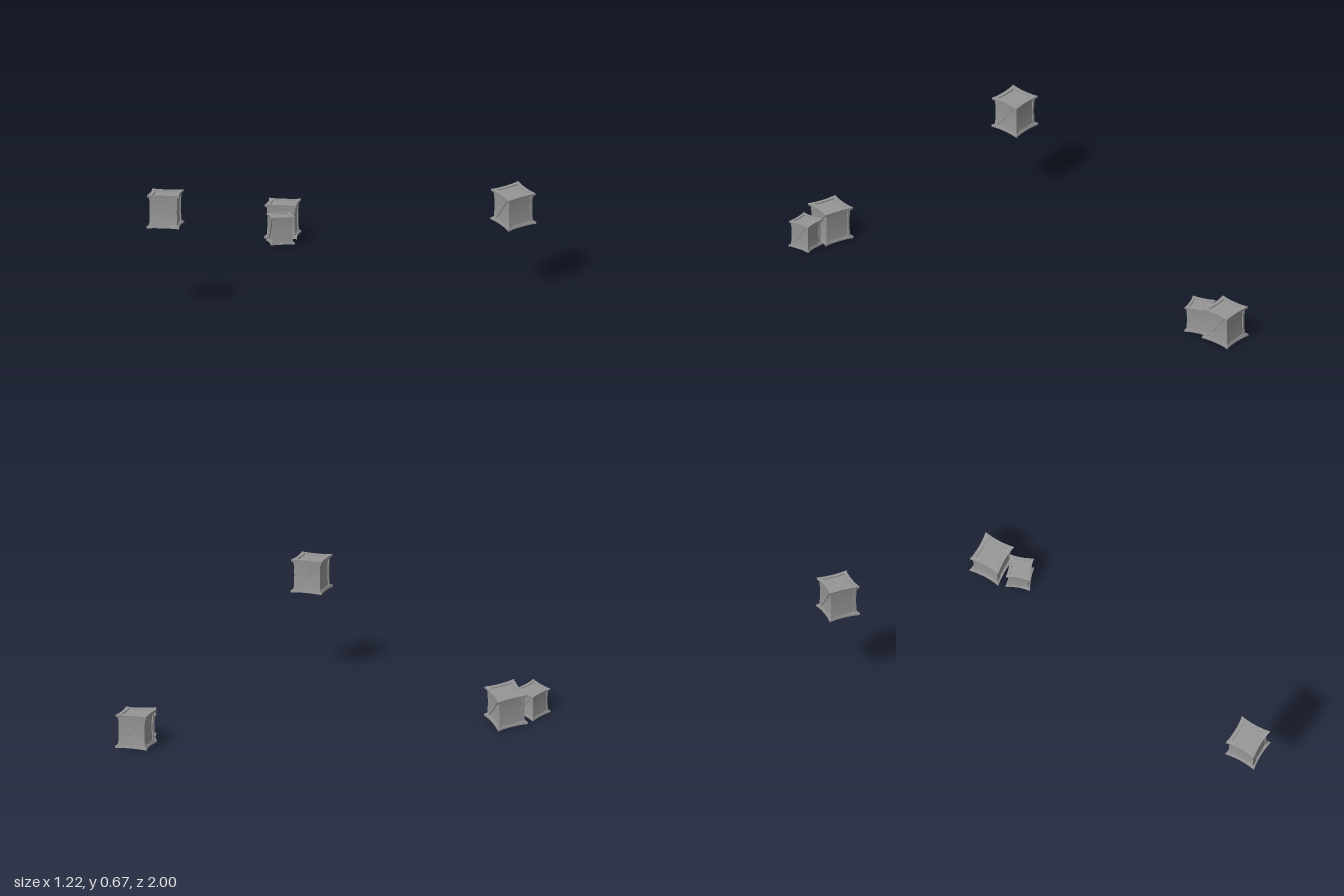
import * as THREE from 'three';
import { toCreasedNormals } from 'three/addons/utils/BufferGeometryUtils.js';

const W = 0.094; // half width of the trim at its corners
const H = 0.198; // crate height
const SEG = 8;
const material = new THREE.MeshStandardMaterial({ color: 0x969696 });

// Moves every vertex of a geometry by a rule
function reshape(geometry, rule) {
  const pos = geometry.attributes.position;
  const p = new THREE.Vector3();
  for (let i = 0; i < pos.count; i++) {
    rule(p.fromBufferAttribute(pos, i));
    pos.setXYZ(i, p.x, p.y, p.z);
  }
  return geometry;
}

// Adds one part, turned to the given side of the crate. Every part is slimmer
// at the waist; the plan pinch curves the middle of a side inward.
function addPart(parent, name, geometry, side = 0, pinch = 0) {
  geometry.rotateY(side * Math.PI / 2);
  reshape(geometry, (p) => {
    const u = p.x / W, v = p.z / W, t = (p.y - H / 2) / (H / 2);
    const waist = 1 - 0.06 * (1 - t * t);
    p.x *= waist * (1 - pinch * (1 - v * v));
    p.z *= waist * (1 - pinch * (1 - u * u));
  });
  const mesh = new THREE.Mesh(toCreasedNormals(geometry, 0.5), material);
  mesh.name = name;
  parent.add(mesh);
}

// Mitred bar along one side, thicker towards its corners
function bar(inner, outer, thickness, flare, inset, atTop) {
  const dir = atTop ? -1 : 1;
  const edge = atTop ? H : 0;
  return reshape(new THREE.BoxGeometry(2, 1, 1, SEG, 1, 1), (p) => {
    const corner = p.x ** 4;
    const outside = p.y * dir < 0;
    p.z = p.z > 0 ? outer : inner;
    p.x *= p.z;
    p.y = edge + dir * (outside ? inset * (1 - corner) : thickness + flare * corner);
  });
}

// Raised triangular board filling the upper left half of a side
function diagonalBoard() {
  const half = 0.07, low = 0.008, high = H - 0.008;
  return reshape(new THREE.BoxGeometry(1, 1, 1, 1, SEG, 1), (p) => {
    const u = p.x + 0.5, v = p.y + 0.5;
    p.x = -half + 2 * half * u * v;
    p.y = low + (high - low) * v;
    p.z = p.z > 0 ? 0.084 : 0.07;
  });
}

function createCrate(name) {
  const crate = new THREE.Group();
  crate.name = name;

  // Inner box, showing as the recessed side, top and bottom panels
  addPart(crate, 'innerBox',
    new THREE.BoxGeometry(0.154, H - 0.018, 0.154, 1, SEG, 1).translate(0, H / 2, 0));

  for (let side = 0; side < 4; side++) {
    addPart(crate, 'diagonalBoard', diagonalBoard(), side);
    addPart(crate, 'cornerPost',
      new THREE.BoxGeometry(0.014, H - 0.016, 0.014, 1, SEG, 1).translate(0.077, H / 2, 0.077), side);
    // Wide trim, with a narrower rail that shows as blocks at the corners
    for (const atTop of [false, true]) {
      const end = atTop ? 'top' : 'bottom';
      const outer = atTop ? W : W + 0.002;
      addPart(crate, end + 'Trim', bar(0.07, outer, 0.012, 0.002, 0.002, atTop), side, 0.09);
      addPart(crate, end + 'Rail', bar(0.074, 0.0885, 0.018, 0.002, 0.006, atTop), side, 0.09);
    }
  }
  return crate;
}

export function createModel() {
  const model = new THREE.Group();
  model.name = 'crates';
  // name, centre and base height, turn in degrees, width and height scale
  const crates = [
    ['largeCrate', [-0.476, 0.004, -0.866], 41, 1, 1.01],
    ['smallCrate', [-0.35, 0, -0.739], 60, 0.75, 0.83],
    ['raisedCrate', [0.473, 0.468, 0.859], 40, 1, 0.995],
  ];
  for (const [name, position, turn, width, height] of crates) {
    const crate = createCrate(name);
    crate.position.set(...position);
    crate.rotation.y = THREE.MathUtils.degToRad(turn);
    crate.scale.set(width, height, width);
    model.add(crate);
  }
  return model;
}
